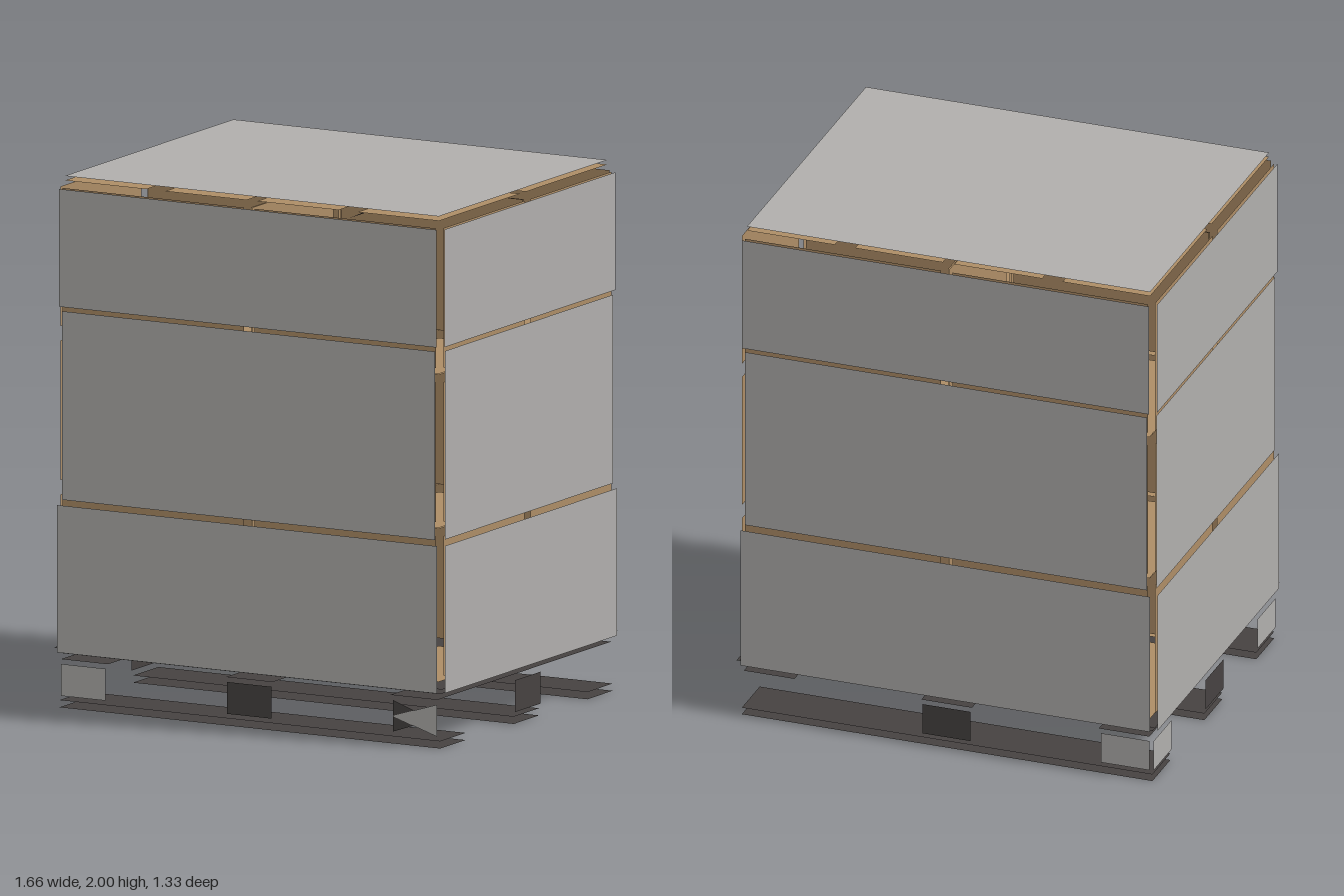
import * as THREE from 'three';

const wrap = new THREE.MeshStandardMaterial({ color: 0xb0aeac });
wrap.name = 'greyWrap';
const card = new THREE.MeshStandardMaterial({ color: 0xad8d66, side: THREE.DoubleSide });
card.name = 'brownCardboard';
const wood = new THREE.MeshStandardMaterial({ color: 0x464241, side: THREE.DoubleSide });
wood.name = 'darkPallet';

// Flat sheet of w x h whose front looks along the given axis ('+x', '-y', ...)
const TURN = {
  '+z': [0, 0], '-z': [0, Math.PI], '+x': [0, Math.PI / 2], '-x': [0, -Math.PI / 2],
  '+y': [-Math.PI / 2, 0], '-y': [Math.PI / 2, 0],
};
function sheet(parent, name, mat, dir, w, h, x, y, z) {
  const m = new THREE.Mesh(new THREE.PlaneGeometry(w, h), mat);
  m.name = name;
  m.rotation.set(TURN[dir][0], TURN[dir][1], 0);
  m.position.set(x, y, z);
  parent.add(m);
}

// Single triangle
function triangle(parent, name, mat, points) {
  const g = new THREE.BufferGeometry();
  g.setAttribute('position', new THREE.Float32BufferAttribute(points.flat(), 3));
  g.computeVertexNormals();
  const m = new THREE.Mesh(g, mat);
  m.name = name;
  parent.add(m);
}

// Four upright sheets standing at +-X and +-Z, stopping short of the corners
function walls(parent, name, mat, X, Z, inset, y0, y1, cx = 0, cz = 0) {
  const h = y1 - y0, y = (y0 + y1) / 2;
  for (const s of [1, -1]) {
    const sign = s > 0 ? '+' : '-';
    sheet(parent, name, mat, sign + 'z', 2 * (X - inset), h, cx, y, cz + s * Z);
    sheet(parent, name, mat, sign + 'x', 2 * (Z - inset), h, cx + s * X, y, cz);
  }
}

// Open-edged carton, lid and base each made of two flaps
function carton(parent, cx, cy, cz) {
  const g = new THREE.Group();
  g.name = 'carton';
  const X = 0.406, Z = 0.323, H = 0.288, inset = 0.02;
  walls(g, 'cartonWall', card, X, Z, inset, cy - H + 0.025, cy + H - 0.025, cx, cz);
  const flap = X - inset - 0.04;
  for (const s of [1, -1])
    for (const dir of ['+y', '-y'])
      sheet(g, 'cartonFlap', card, dir, flap, 2 * (Z - inset),
        cx + s * (0.04 + flap / 2), cy + (dir === '+y' ? H : -H), cz);
  parent.add(g);
}

export function createModel() {
  const root = new THREE.Group();
  root.name = 'loadedPallet';

  // Pallet: three runners, each with a lower and an upper face
  const pallet = new THREE.Group();
  pallet.name = 'pallet';
  root.add(pallet);
  for (const z of [-0.55, 0, 0.55]) {
    sheet(pallet, 'runnerBottom', wood, '-y', 1.62, 0.19, 0, 0, z);
    sheet(pallet, 'runnerTop', wood, '+y', 1.62, 0.19, 0, 0.027, z);
  }
  // Cross boards and deck
  for (const x of [-0.7, 0, 0.7])
    sheet(pallet, 'crossBoard', wood, '-y', 0.2, 1.3, x, 0.183, 0);
  for (let i = -2; i <= 2; i++)
    sheet(pallet, 'deckBoard', wood, '-y', 1.62, 0.23, 0, 0.205, i * 0.265);
  sheet(pallet, 'deckTop', wood, '+y', 1.65, 1.32, 0, 0.226, 0);

  // Blocks: dark in the middle, grey fronts on the corners
  const by = 0.105, bh = 0.12, bw = 0.19;
  for (const s of [1, -1]) {
    const sign = s > 0 ? '+' : '-';
    sheet(pallet, 'middleBlock', wood, sign + 'z', bw, bh, 0, by, s * 0.65);
    sheet(pallet, 'middleBlock', wood, sign + 'x', bw, bh, s * 0.815, by, 0);
    sheet(pallet, 'cornerBlock', wrap, sign + 'z', bw, bh, -0.705, by, s * 0.65);
    sheet(pallet, 'cornerBlock', wrap, '-x', bw, bh, -0.815, by, s * 0.55);
  }
  triangle(pallet, 'cornerBlockDark', wood,
    [[0.61, 0.045, 0.648], [0.78, by, 0.648], [0.61, 0.165, 0.648]]);
  triangle(pallet, 'cornerBlockGrey', wrap,
    [[0.61, by, 0.652], [0.8, 0.045, 0.652], [0.8, 0.165, 0.652]]);

  // Cartons, two by two in three layers
  for (let layer = 0; layer < 3; layer++)
    for (const sx of [-1, 1])
      for (const sz of [-1, 1])
        carton(root, sx * 0.409, 0.535 + layer * 0.58, sz * 0.326);

  // Wrapping in three bands, and the top sheet
  walls(root, 'lowerWrap', wrap, 0.83, 0.665, 0.022, 0.21, 0.765);
  walls(root, 'middleWrap', wrap, 0.82, 0.655, 0.027, 0.785, 1.495);
  walls(root, 'upperWrap', wrap, 0.825, 0.66, 0.022, 1.512, 1.955);
  sheet(root, 'topSheet', wrap, '+y', 1.59, 1.26, 0, 2, 0);

  // Folded sliver under the top sheet
  triangle(root, 'innerFold', wood,
    [[0.41, 1.955, 0.63], [0.41, 1.955, 0], [0.41, 1.978, 0.02]]);

  return root;
}
